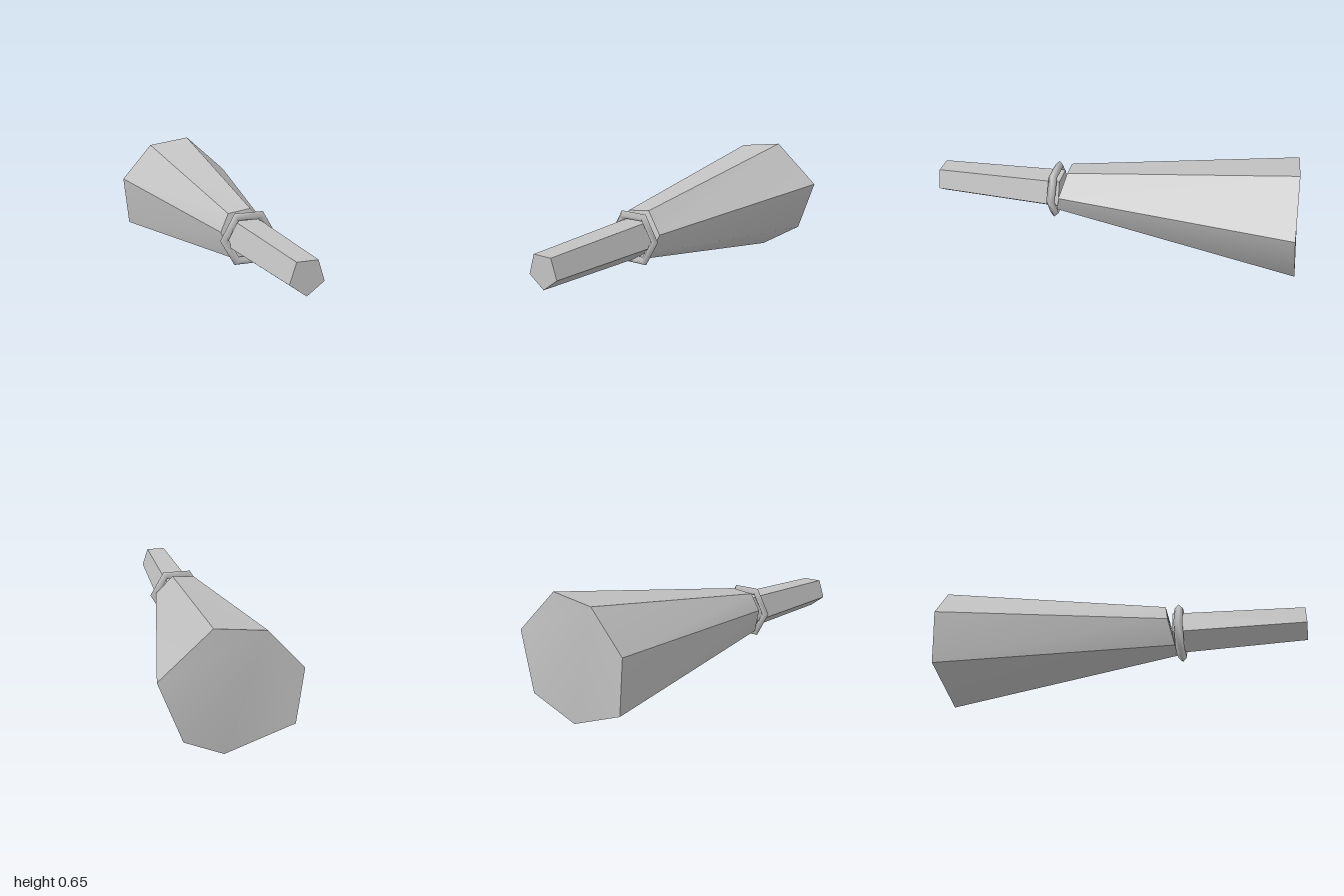
import * as THREE from 'three';

const grey = new THREE.MeshStandardMaterial({ color: 0xc2c2c2 });
grey.name = 'grey';

// Corners of the club head, clockwise from the upper left as seen from the front
const BACK = [
  [-0.159, 0.616, -0.957], [0.089, 0.649, -0.965], [0.341, 0.423, -0.975], [0.229, 0.129, -1.0],
  [0.021, 0.002, -0.93], [-0.315, 0.13, -0.945], [-0.344, 0.414, -0.947],
];
const FRONT = [
  [-0.11, 0.45, 0.267], [0.016, 0.464, 0.26], [0.108, 0.355, 0.29], [0.07, 0.258, 0.31],
  [0.012, 0.215, 0.315], [-0.105, 0.225, 0.31], [-0.155, 0.358, 0.28],
];

function surface(points, index) {
  const g = new THREE.BufferGeometry();
  g.setAttribute('position', new THREE.Float32BufferAttribute(points.flat(), 3));
  g.setIndex(index);
  g.computeVertexNormals();
  return g;
}

// Side wall through the given corners, smooth between its own facets only
function wall(corners) {
  const n = corners.length;
  const points = [...corners.map(i => FRONT[i]), ...corners.map(i => BACK[i])];
  const index = [];
  for (let i = 0; i < n - 1; i++) index.push(i, i + 1, n + i, i + 1, n + i + 1, n + i);
  return surface(points, index);
}

function cap(points, facesFront) {
  const index = [];
  for (let i = 1; i < points.length - 1; i++) {
    if (facesFront) index.push(0, i + 1, i);
    else index.push(0, i, i + 1);
  }
  return surface(points, index);
}

export function createModel() {
  const model = new THREE.Group();
  model.name = 'club';
  const add = (parent, name, geometry) => {
    const mesh = new THREE.Mesh(geometry, grey);
    mesh.name = name;
    parent.add(mesh);
    return mesh;
  };

  // Five-sided tapered handle
  const grip = new THREE.CylinderGeometry(0.091, 0.113, 0.7, 5).rotateX(Math.PI / 2).toNonIndexed();
  grip.computeVertexNormals();
  add(model, 'handle', grip).position.set(-0.024, 0.326, 0.65);

  // Six-sided collar with a diamond section
  const collar = new THREE.TorusGeometry(0.1325, 0.0235, 4, 6);
  add(model, 'collar', collar).position.set(-0.024, 0.329, 0.335);

  // Seven-sided uneven head, with one soft edge on the lower left
  const head = new THREE.Group();
  head.name = 'head';
  model.add(head);
  [[0, 1], [1, 2], [2, 3, 4], [4, 5], [5, 6], [6, 0]].forEach((c, i) => add(head, `headSide${i + 1}`, wall(c)));
  add(head, 'headFront', cap(FRONT, true));
  add(head, 'headEnd', cap(BACK, false));

  return model;
}
